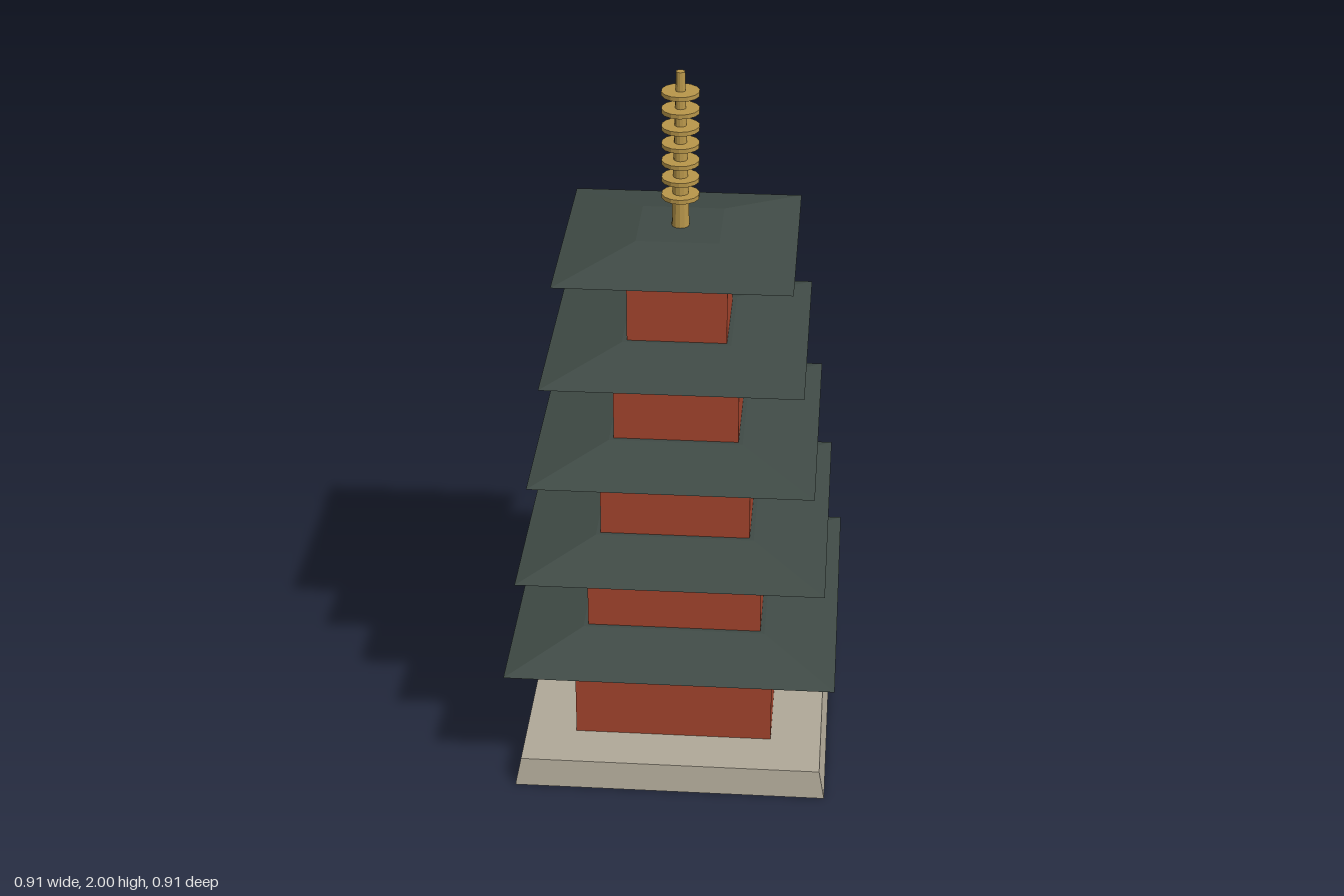
import * as THREE from 'three';

const mat = (name, color, flatShading = true) => {
  const m = new THREE.MeshStandardMaterial({ color, flatShading });
  m.name = name;
  return m;
};

export function createModel() {
  const group = new THREE.Group();
  const stone = mat('stone', 0xb0a898);
  const red = mat('redWall', 0xa5452d);
  const tile = mat('roofTile', 0x3f4a45);
  const gold = mat('gold', 0xb8964a);

  const add = (name, geometry, material, y, parent = group) => {
    const mesh = new THREE.Mesh(geometry, material);
    mesh.name = name;
    mesh.position.y = y;
    parent.add(mesh);
    return mesh;
  };

  // Square frustum given half widths at the bottom and top
  const frustum = (name, bottom, top, y0, y1, material, parent, open = false) => {
    const g = new THREE.CylinderGeometry(top * Math.SQRT2, bottom * Math.SQRT2, y1 - y0, 4, 1, open);
    g.rotateY(Math.PI / 4);
    return add(name, g, material, (y0 + y1) / 2, parent);
  };

  // Sloped stone plinth
  frustum('plinth', 0.438, 0.422, 0, 0.08, stone, group);

  // Five storeys, each narrower than the one below
  for (let i = 0; i < 5; i++) {
    const half = 0.279 - 0.036 * i;
    const eave = 0.457 - 0.0355 * i;
    const roofY = 0.352 + 0.284 * i;
    const wallY = i === 0 ? 0.08 : roofY - 0.284 + 0.0745;

    const storey = new THREE.Group();
    storey.name = `storey${i + 1}`;
    group.add(storey);
    frustum('walls', half, half, wallY, roofY, red, storey);

    // Roof: sloping soffit below, hipped slope above, meeting at a sharp eave
    frustum('soffit', half + 0.022, eave, roofY, roofY + 0.029, tile, storey);
    frustum('roof', eave, half - 0.024, roofY + 0.029, roofY + 0.0745, tile, storey);
  }

  // Spire: tapered pole with seven discs
  const spire = new THREE.Group();
  spire.name = 'spire';
  group.add(spire);
  add('pole', new THREE.CylinderGeometry(0.012, 0.024, 0.44, 12), gold, 1.78, spire);
  for (let i = 0; i < 7; i++) {
    add('disc', new THREE.CylinderGeometry(0.051, 0.051, 0.012, 14), gold, 1.65 + 0.0485 * i, spire);
  }

  return group;
}
